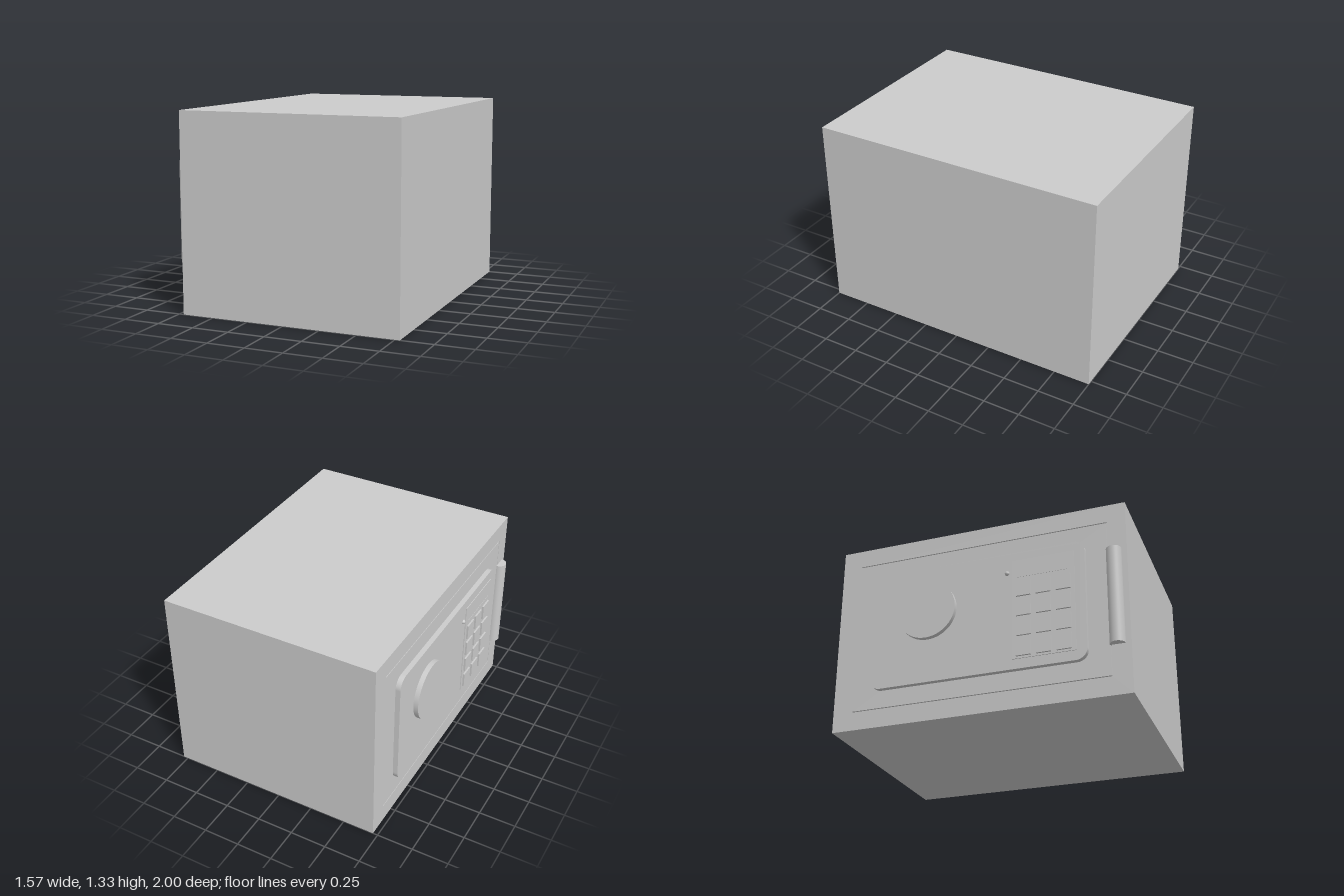
import * as THREE from 'three';

const mat = new THREE.MeshStandardMaterial({ color: 0xcccccc });
const FACE = 0.717; // distance of the door face from the centre
const SLAB = 0.012; // depth of the groove around the door

function add(parent, name, geometry, x, y, z) {
  const mesh = new THREE.Mesh(geometry, mat);
  mesh.name = name;
  mesh.position.set(x, y, z);
  parent.add(mesh);
  return mesh;
}

function roundedRect(x0, y0, x1, y1, r) {
  const s = new THREE.Shape();
  s.absarc(x1 - r, y0 + r, r, -Math.PI / 2, 0);
  s.absarc(x1 - r, y1 - r, r, 0, Math.PI / 2);
  s.absarc(x0 + r, y1 - r, r, Math.PI / 2, Math.PI);
  s.absarc(x0 + r, y0 + r, r, Math.PI, Math.PI * 1.5);
  s.closePath();
  return s;
}

const points = (list) => list.map(([x, y]) => new THREE.Vector2(x, y));
const extrude = (shape, depth) =>
  new THREE.ExtrudeGeometry(shape, { depth, bevelEnabled: false, curveSegments: 12 });

export function createModel() {
  const safe = new THREE.Group();
  safe.name = 'safe';

  // Cabinet behind the front slab
  const depth = 0.783 + FACE - SLAB;
  add(safe, 'cabinet', new THREE.BoxGeometry(depth, 1.333, 2), 0.783 - depth / 2, 0.6665, 0);

  // Door side: local x runs along the cabinet, local z points out of the door
  const front = new THREE.Group();
  front.name = 'doorSide';
  front.rotation.y = -Math.PI / 2;
  safe.add(front);

  // Front slab with a narrow three-sided groove outlining the door
  const slab = new THREE.Shape(points([[-1, 0], [1, 0], [1, 1.333], [-1, 1.333]]));
  const g = 0.006;
  slab.holes.push(new THREE.Path(points([
    [-0.867, 0.125], [0.875, 0.125], [0.875, 1.208], [-0.867, 1.208],
    [-0.867, 1.208 - g], [0.875 - g, 1.208 - g], [0.875 - g, 0.125 + g], [-0.867, 0.125 + g],
  ])));
  add(front, 'doorFace', extrude(slab, SLAB), 0, 0, FACE - SLAB);

  // Raised panel with rounded corners
  add(front, 'panel', extrude(roundedRect(-0.735, 0.25, 0.732, 1.085, 0.075), 0.034), 0, 0, FACE);

  // Round knob
  const knob = add(front, 'knob', new THREE.CylinderGeometry(0.2, 0.2, 0.034, 48), -0.336, 0.75, 0.767);
  knob.rotation.x = Math.PI / 2;

  // Keypad plate, divider line and indicator light
  add(front, 'keypadPlate', new THREE.BoxGeometry(0.415, 0.7, 0.006), 0.455, 0.667, 0.753);
  add(front, 'keypadDivider', new THREE.BoxGeometry(0.345, 0.006, 0.002), 0.457, 0.895, 0.757);
  add(front, 'indicatorLight', new THREE.SphereGeometry(0.016, 16, 12), 0.212, 0.935, 0.751);

  // Keys: three columns by four rows
  const key = new THREE.BoxGeometry(0.097, 0.107, 0.014);
  for (let row = 0; row < 4; row++) {
    for (let col = 0; col < 3; col++) {
      add(front, 'key', key, 0.324 + col * 0.132, 0.385 + row * 0.14, 0.761);
    }
  }

  // Hinge barrel
  add(front, 'hinge', new THREE.CylinderGeometry(0.05, 0.05, 0.667, 32), 0.914, 0.667, FACE);

  return safe;
}
